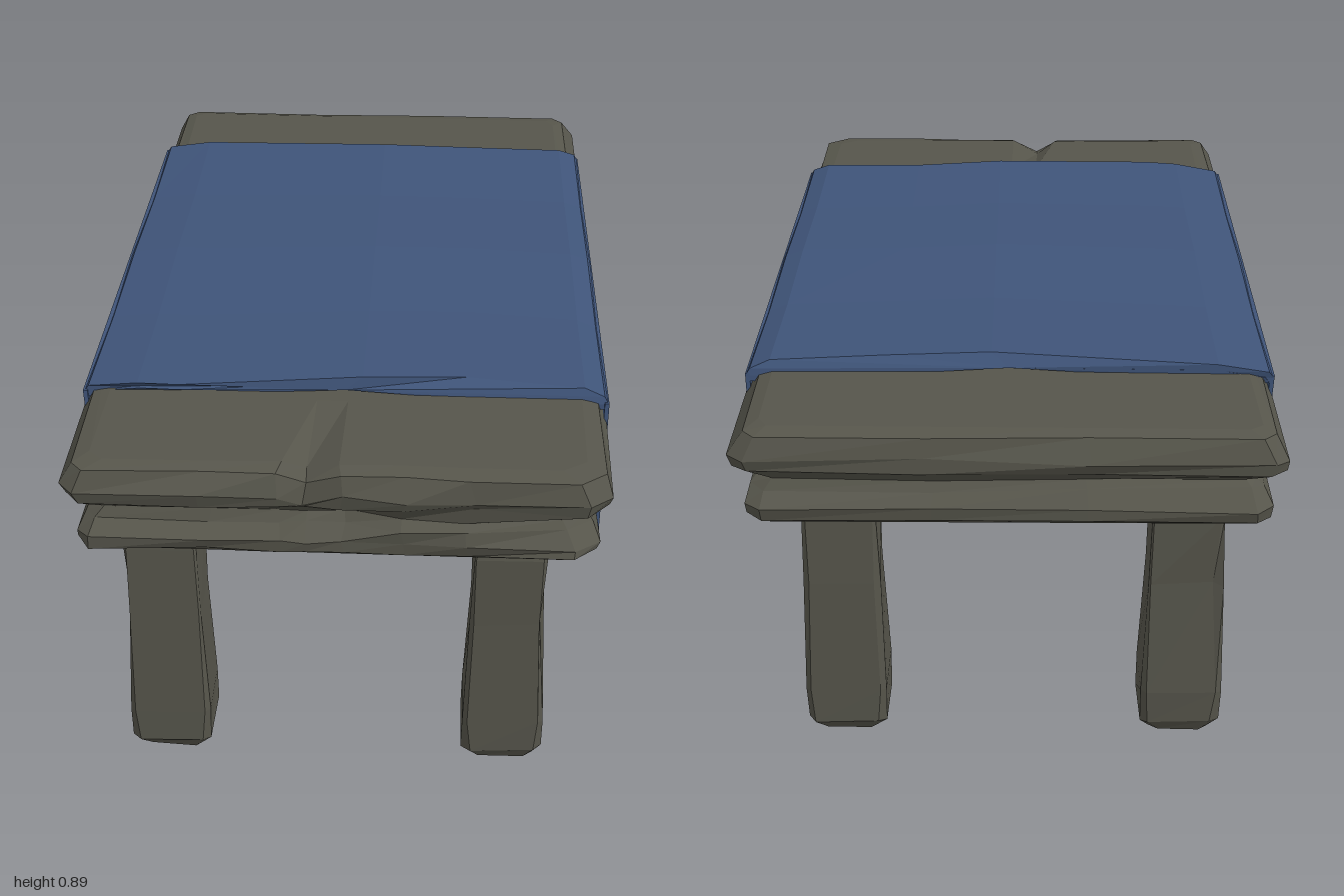
import * as THREE from 'three';

const stone = new THREE.MeshStandardMaterial({ color: 0x56554b });
stone.name = 'weathered stone';
const fabric = new THREE.MeshStandardMaterial({ color: 0x3f5479, side: THREE.DoubleSide });
fabric.name = 'blue fabric';

// small repeatable noise in -1..1
const noise = (a, b) => {
  const s = Math.sin(a * 12.99 + b * 78.23) * 43758.5;
  return (s - Math.floor(s)) * 2 - 1;
};

// flat-faceted solid through a stack of rings (each counter-clockwise seen along the stack)
function loft(rings) {
  const pos = [];
  const n = rings[0].length;
  const tri = (...p) => p.forEach((q) => pos.push(...q));
  for (let r = 0; r < rings.length - 1; r++) {
    for (let i = 0; i < n; i++) {
      const j = (i + 1) % n, lo = rings[r], hi = rings[r + 1];
      tri(lo[i], lo[j], hi[j]);
      tri(lo[i], hi[j], hi[i]);
    }
  }
  const mid = (ring) => [0, 1, 2].map((k) => ring.reduce((s, p) => s + p[k], 0) / n);
  const first = rings[0], last = rings[rings.length - 1];
  const a = mid(first), b = mid(last);
  for (let i = 0; i < n; i++) {
    const j = (i + 1) % n;
    tri(a, first[j], first[i]);
    tri(b, last[i], last[j]);
  }
  const g = new THREE.BufferGeometry();
  g.setAttribute('position', new THREE.Float32BufferAttribute(pos, 3));
  g.computeVertexNormals();
  return g;
}

function add(group, name, geometry, material) {
  const mesh = new THREE.Mesh(geometry, material);
  mesh.name = name;
  group.add(mesh);
  return mesh;
}

// two-tier slab with a worn waist, chipped rim and a notch in the front edge
function slabGeometry() {
  const outline = [
    [1, 0.96], [1, 0.4], [1, -0.3], [1, -0.97],
    [0.95, -1], [0.3, -1], [-0.3, -1], [-0.95, -1],
    [-1, -0.98], [-1, -0.3], [-1, 0.4], [-1, 0.97],
    [-0.95, 1], [-0.5, 1], [-0.22, 1], [-0.12, 1], [0.02, 1], [0.25, 1], [0.5, 1], [0.9, 1],
  ];
  // [height, half width, half length]
  const levels = [
    [0.62, 0.53, 0.93], [0.645, 0.555, 0.965], [0.672, 0.555, 0.968], [0.703, 0.545, 0.935],
    [0.722, 0.53, 0.92], [0.765, 0.575, 0.975], [0.795, 0.582, 0.985],
    [0.842, 0.558, 0.965], [0.85, 0.525, 0.93], [0.85, 0.49, 0.68],
  ];
  return loft(levels.map(([y, w, d], k) => outline.map(([u, v], i) => {
    const rim = k > 0 && k < 9 ? 1 : 0;
    let x = u * w + rim * 0.006 * noise(i, k);
    let z = v * d + rim * 0.007 * noise(i + 9, k);
    let h = y + (k > 0 && k < 7 ? 0.006 * noise(i + 3, k + 5) : 0);
    if (v === 1 && u === -0.12 && k > 5 && k < 9) { z -= 0.025; h -= 0.03; }   // notch
    if (v === 1 && (u === 0.25 || u === 0.5) && (k === 3 || k === 4)) z += 0.03; // broken ledge
    if (v === 1 && u === 0.5 && k === 5) z -= 0.02;
    return [x, h, z];
  })));
}

// squared tapering leg with chamfered corners, worn foot and narrow neck
function legGeometry(seed) {
  // [height, half width, corner chamfer, roughness]
  const levels = [
    [0, 0.07, 0.02, 0.004], [0.035, 0.092, 0.02, 0.004], [0.12, 0.092, 0.012, 0.002],
    [0.4, 0.084, 0.01, 0.005], [0.575, 0.08, 0.006, 0.002], [0.587, 0.078, 0.006, 0],
    [0.587, 0.05, 0.005, 0], [0.605, 0.048, 0.005, 0], [0.635, 0.05, 0.005, 0],
  ];
  return loft(levels.map(([y, s, c, rough], k) => {
    const t = s - c;
    const ring = [[s, t], [s, -t], [t, -s], [-t, -s], [-s, -t], [-s, t], [-t, s], [t, s]];
    return ring.map(([x, z], i) => {
      const chip = k === 3 && i === (seed * 3 + 5) % 8 ? 0.82 : 1;
      return [
        x * chip + rough * noise(i + seed * 7, k),
        y + (k > 0 ? rough * 2 * noise(i, k + seed) : 0),
        z * 0.97 * chip + rough * noise(k + seed, i),
      ];
    });
  }));
}

// top sheet of the cloth: a thin closed section carried along z
function clothTopGeometry() {
  // [x, height, front edge, back edge]
  const across = [
    [-0.583, 0.838, 0.65, -0.672], [-0.572, 0.853, 0.65, -0.675], [-0.46, 0.87, 0.662, -0.673],
    [-0.37, 0.873, 0.67, -0.668], [0.04, 0.886, 0.638, -0.645], [0.27, 0.88, 0.617, -0.65],
    [0.53, 0.872, 0.638, -0.66], [0.574, 0.855, 0.645, -0.67], [0.584, 0.838, 0.65, -0.672],
  ];
  const stations = [0, 0.25, 0.5, 0.75, 1];
  return loft(stations.map((t) => {
    const sag = 0.004 * Math.cos(t * Math.PI * 4) - 0.002;
    const point = ([x, y, f, b], drop, pull) => [x * pull, y + sag - drop, b + (f - b) * t];
    return [
      ...across.slice().reverse().map((p) => point(p, 0, 1)),
      ...across.map((p) => point(p, 0.013, 0.985)),
    ];
  }));
}

// ragged hanging side; hem is a list of [z, height], leaning from topX to lowX
function clothSideGeometry(hem, topX, lowX) {
  const shape = new THREE.Shape([[0.655, 0.845], [-0.672, 0.845], ...hem].map(([z, y]) => new THREE.Vector2(z, y)));
  const g = new THREE.ExtrudeGeometry(shape, { depth: 0.01, bevelEnabled: false });
  const p = g.attributes.position;
  for (let i = 0; i < p.count; i++) {
    const z = p.getX(i), y = p.getY(i), d = p.getZ(i) - 0.005;
    p.setXYZ(i, topX + (lowX - topX) * (0.845 - y) / 0.35 - d, y, z);
  }
  g.computeVertexNormals();
  return g;
}

export function createModel() {
  const table = new THREE.Group();
  table.name = 'stoneTable';

  add(table, 'slab', slabGeometry(), stone);

  [[-0.395, 0.8], [0.375, 0.8], [-0.395, -0.757], [0.375, -0.757]].forEach(([x, z], i) => {
    const leg = add(table, (z > 0 ? 'front' : 'back') + (x > 0 ? 'Left' : 'Right') + 'Leg', legGeometry(i), stone);
    leg.position.set(x, 0, z);
  });

  const cloth = new THREE.Group();
  cloth.name = 'cloth';
  table.add(cloth);
  add(cloth, 'clothTop', clothTopGeometry(), fabric);
  const leftHem = [
    [-0.67, 0.625], [-0.585, 0.67], [-0.555, 0.505], [-0.575, 0.6], [-0.45, 0.685], [-0.365, 0.52],
    [-0.2, 0.69], [-0.12, 0.695], [-0.05, 0.65], [0, 0.54], [0.14, 0.53], [0.32, 0.51],
    [0.41, 0.655], [0.45, 0.515], [0.6, 0.51], [0.672, 0.48],
  ];
  leftHem.splice(3, 1);
  const rightHem = [
    [-0.67, 0.64], [-0.6, 0.7], [-0.5, 0.62], [-0.42, 0.66], [-0.3, 0.54], [-0.24, 0.575],
    [-0.15, 0.525], [-0.08, 0.58], [0.02, 0.488], [0.1, 0.53], [0.13, 0.67], [0.25, 0.69],
    [0.32, 0.64], [0.39, 0.55], [0.47, 0.68], [0.58, 0.53], [0.61, 0.62], [0.665, 0.6],
  ];
  add(cloth, 'clothLeftSide', clothSideGeometry(leftHem, 0.579, 0.572 + 0.005), fabric);
  add(cloth, 'clothRightSide', clothSideGeometry(rightHem, -0.579, -0.563), fabric);
  return table;
}
